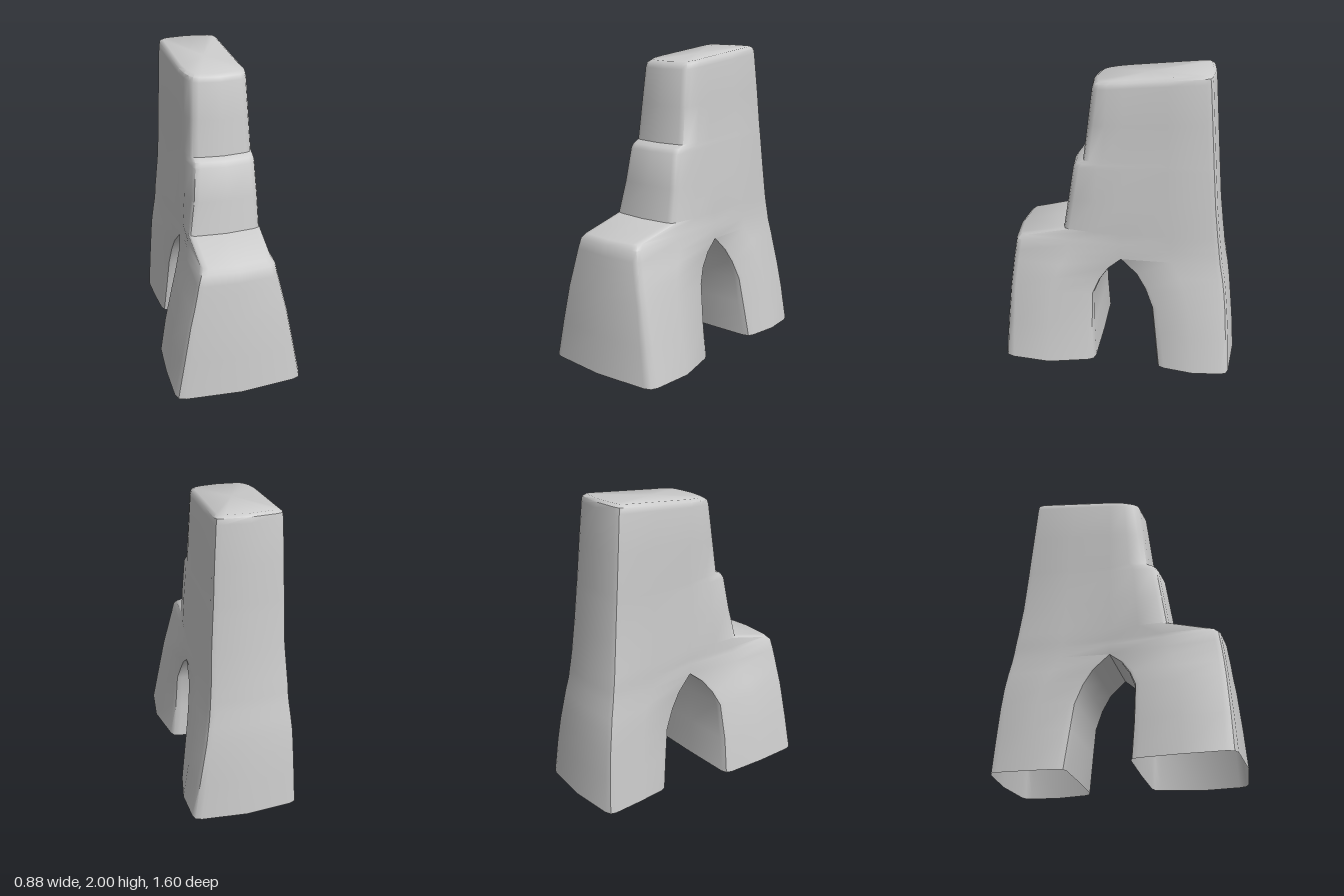
import * as THREE from 'three';
import { mergeGeometries, mergeVertices, toCreasedNormals } from 'three/addons/utils/BufferGeometryUtils.js';

const V = (x, z) => new THREE.Vector2(x, z);

// Closed ring of 3D points; control points with a radius become rounded corners.
// The height runs from yBack to yFront along the depth of the ring.
function ring(yFront, yBack, points) {
  const zs = points.map(([p]) => p.y);
  const z0 = Math.min(...zs), z1 = Math.max(...zs);
  const out = [];
  points.forEach(([p, r], i) => {
    if (r === undefined) return out.push(p);
    const n = points.length;
    const toward = (q) => p.clone().add(q.clone().sub(p).setLength(r));
    const a = toward(points[(i + n - 1) % n][0]);
    const b = toward(points[(i + 1) % n][0]);
    const m = a.clone().add(b).multiplyScalar(0.25).addScaledVector(p, 0.5);
    out.push(a, m, b);
  });
  return out.map((p) => new THREE.Vector3(p.x,
    THREE.MathUtils.lerp(yBack, yFront, (p.y - z0) / (z1 - z0)), p.y));
}

// Skin over a stack of rings, optionally closed at the top.
function loft(rings, cap) {
  const n = rings[0].length, index = [];
  const verts = rings.flat();
  for (let j = 0; j < rings.length - 1; j++) {
    for (let i = 0; i < n; i++) {
      const a = j * n + i, b = j * n + (i + 1) % n;
      index.push(a, b, b + n, a, b + n, a + n);
    }
  }
  if (cap) {
    const last = rings[rings.length - 1];
    const c = last.reduce((s, p) => s.add(p), new THREE.Vector3()).divideScalar(n);
    const base = (rings.length - 1) * n;
    verts.push(c);
    for (let i = 0; i < n; i++) index.push(base + i, base + (i + 1) % n, verts.length - 1);
  }
  const g = new THREE.BufferGeometry().setFromPoints(verts);
  g.setIndex(index);
  return g;
}

const R = 0.04;

// Leg slice: y, front z, back z, then left/right x at front, middle and back,
// bulge of the front and back faces, and corner radii.
function legRing([y, zf, zb, fl, fr, ml, mr, bl, br, bf, bb, rf, rb]) {
  const zm = (zf + zb) / 2;
  return ring(y, y, [
    [V(fl, zf), rf], [V((fl + fr) / 2, zf + bf)], [V(fr, zf), rf], [V(mr, zm)],
    [V(br, zb), rb], [V((bl + br) / 2, zb - bb)], [V(bl, zb), rb], [V(ml, zm)],
  ]);
}

// Body slice: heights at front and back, front z, back z,
// then left/right x at front, middle and back, and corner radius.
function bodyRing([yf, yb, zf, zb, fl, fr, ml, mr, bl, br, r = R]) {
  const zm = -0.03;
  return ring(yf, yb, [
    [V(fl, zf), r], [V((fl + fr) / 2, zf + 0.02)], [V(fr, zf), r],
    [V((fr + mr) / 2 + 0.01, (zf + zm) / 2)], [V(mr, zm)], [V((mr + br) / 2, (zb + zm) / 2)],
    [V(br, zb), r], [V((bl + br) / 2, zb - 0.02)], [V(bl, zb), r],
    [V((ml + bl) / 2, (zb + zm) / 2)], [V(ml, zm)], [V((fl + ml) / 2 - 0.01, (zf + zm) / 2)],
  ]);
}

export function createModel() {
  const group = new THREE.Group();

  // Front leg, leaning in toward the arch crown
  const frontLeg = [
    [0, 0.765, 0.14, -0.44, 0.41, -0.43, 0.44, -0.40, 0.37, 0.035, 0.005, 0.06, 0.05],
    [0.25, 0.75, 0.15, -0.39, 0.36, -0.395, 0.39, -0.365, 0.35, 0.03, 0, 0.05, 0.05],
    [0.5, 0.73, 0.15, -0.34, 0.31, -0.34, 0.345, -0.31, 0.33, 0.025, 0, R, 0.04],
    [0.6, 0.72, 0.11, -0.315, 0.285, -0.31, 0.325, -0.27, 0.31, 0.02, 0, R, 0.03],
    [0.69, 0.71, 0.05, -0.295, 0.265, -0.27, 0.305, -0.23, 0.30, 0.02, 0, R, 0.02],
    [0.76, 0.70, -0.03, -0.28, 0.25, -0.25, 0.28, -0.20, 0.29, 0.02, 0, R, 0.001],
  ];
  // Back leg
  const backLeg = [
    [0, -0.29, -0.77, -0.27, 0.40, -0.28, 0.44, -0.28, 0.42, 0.005, 0.03, 0.05, 0.05],
    [0.25, -0.26, -0.755, -0.25, 0.37, -0.265, 0.395, -0.27, 0.385, 0, 0.025, 0.05, 0.05],
    [0.43, -0.24, -0.74, -0.235, 0.345, -0.25, 0.365, -0.26, 0.35, 0, 0.02, 0.04, R],
    [0.56, -0.19, -0.725, -0.225, 0.32, -0.24, 0.34, -0.255, 0.325, 0, 0.02, 0.03, R],
    [0.66, -0.13, -0.71, -0.215, 0.30, -0.23, 0.32, -0.245, 0.31, 0, 0.02, 0.02, R],
    [0.76, -0.03, -0.69, -0.20, 0.29, -0.2175, 0.2925, -0.235, 0.295, 0, 0.02, 0.001, R],
  ];
  // Upper mass: two stepped ledges at the front, sloping summit
  const body = [
    [0.76, 0.76, 0.70, -0.69, -0.28, 0.25, -0.20, 0.29, -0.235, 0.295],
    [0.83, 0.83, 0.69, -0.68, -0.26, 0.235, -0.20, 0.285, -0.23, 0.29],
    [0.86, 0.87, 0.66, -0.675, -0.24, 0.215, -0.20, 0.283, -0.23, 0.285],
    [0.935, 0.94, 0.36, -0.665, -0.235, 0.24, -0.20, 0.28, -0.225, 0.28],
    [1.15, 1.15, 0.325, -0.64, -0.20, 0.235, -0.20, 0.265, -0.21, 0.27],
    [1.365, 1.39, 0.29, -0.62, -0.18, 0.225, -0.195, 0.245, -0.205, 0.255],
    [1.395, 1.42, 0.27, -0.617, -0.175, 0.22, -0.195, 0.243, -0.205, 0.253],
    [1.415, 1.45, 0.225, -0.615, -0.175, 0.22, -0.195, 0.24, -0.205, 0.25],
    [1.65, 1.7, 0.195, -0.595, -0.165, 0.21, -0.195, 0.23, -0.20, 0.237],
    [1.88, 1.95, 0.165, -0.575, -0.155, 0.20, -0.195, 0.215, -0.195, 0.22],
    [1.91, 1.985, 0.155, -0.57, -0.15, 0.195, -0.19, 0.21, -0.19, 0.215],
    [1.927, 2.0, 0.13, -0.55, -0.13, 0.175, -0.17, 0.19, -0.17, 0.195],
  ];

  const merged = mergeVertices(mergeGeometries([
    loft(frontLeg.map(legRing), false),
    loft(backLeg.map(legRing), false),
    loft(body.map(bodyRing), true),
  ]), 1e-4);
  const rock = new THREE.Mesh(
    toCreasedNormals(merged, 0.8),
    new THREE.MeshStandardMaterial({ color: 0xcccccc, side: THREE.DoubleSide }),
  );
  rock.name = 'rockArch';
  group.add(rock);
  return group;
}
